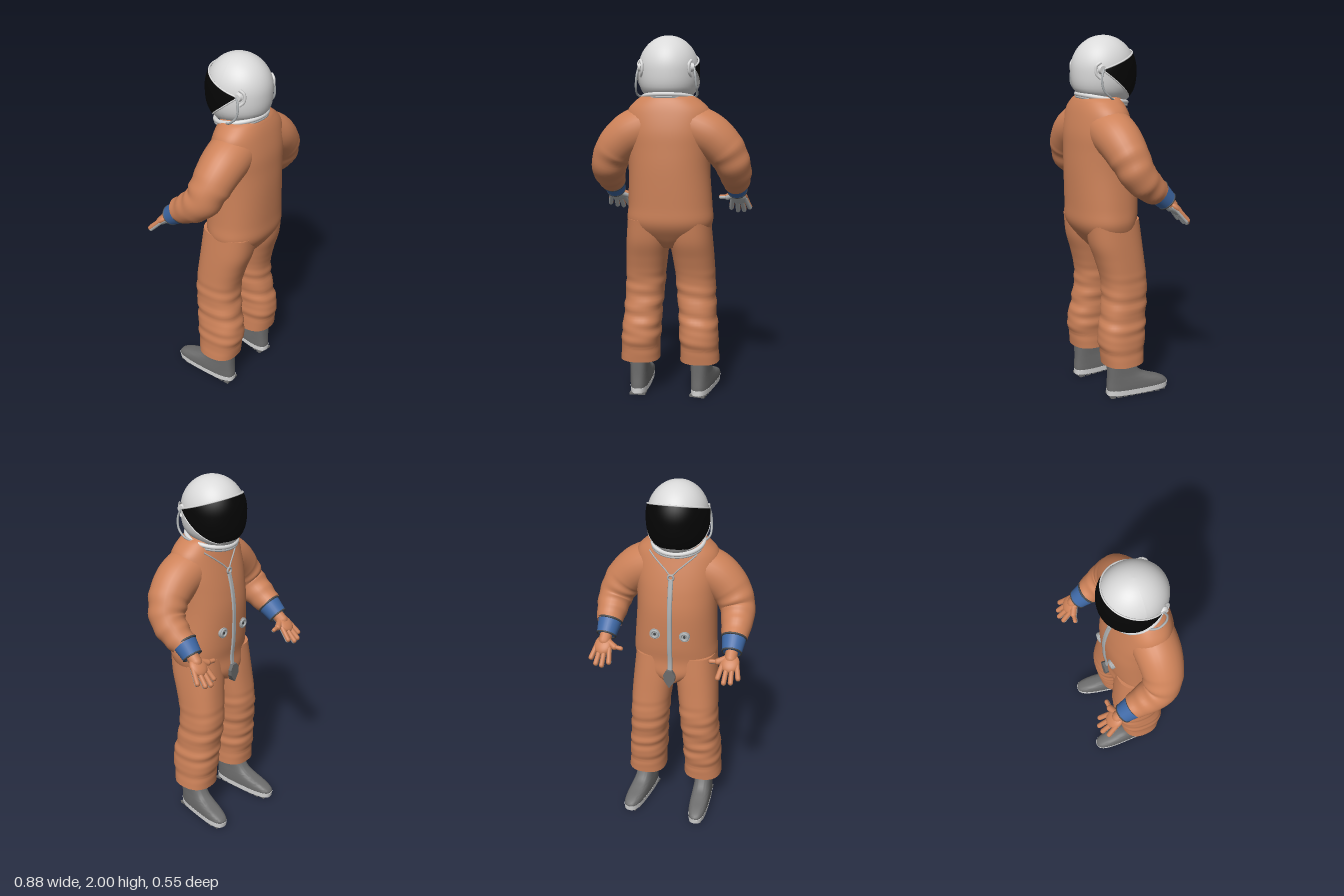
import * as THREE from 'three';
import { mergeVertices, toCreasedNormals } from 'three/addons/utils/BufferGeometryUtils.js';

const V = (x, y, z) => new THREE.Vector3(x, y, z);
const TAU = Math.PI * 2;

export function createModel() {
  const root = new THREE.Group();
  root.name = 'suitedFigure';
  const mat = (name, color, side = THREE.FrontSide) => {
    const m = new THREE.MeshStandardMaterial({ color, side });
    m.name = name;
    return m;
  };
  const orange = mat('orange fabric', 0xcd8259, THREE.DoubleSide);
  const white = mat('helmet white', 0xdadada);
  const black = mat('visor black', 0x050505, THREE.DoubleSide);
  const grey = mat('boot grey', 0x6c6c6c);
  const silver = mat('metal grey', 0xadb1b3);
  const blue = mat('cuff blue', 0x3f69a6);
  const dark = mat('dark trim', 0x46484a);

  const add = (parent, name, geo, material, pos) => {
    const m = new THREE.Mesh(geo, material);
    m.name = name;
    if (pos) m.position.set(...pos);
    parent.add(m);
    return m;
  };
  const tube = (pts, r, n = 32) => new THREE.TubeGeometry(new THREE.CatmullRomCurve3(pts), n, r, 8);

  // Closed skin over horizontal rings, bottom to top: [y, cx, cz, rx, rz]
  function loft(rows, { steps = 6, n = 40, e = 2.4, ripple = () => 0 } = {}) {
    const mid = new THREE.CatmullRomCurve3(rows.map(r => V(r[1], r[0], r[2])), false, 'catmullrom');
    const rad = new THREE.CatmullRomCurve3(rows.map(r => V(r[3], 0, r[4])), false, 'catmullrom');
    const count = (rows.length - 1) * steps, pos = [], idx = [];
    const pw = c => Math.sign(c) * Math.abs(c) ** (2 / e);
    for (let j = 0; j <= count; j++) {
      const c = mid.getPoint(j / count), r = rad.getPoint(j / count);
      for (let i = 0; i < n; i++) {
        const a = i / n * TAU, k = 1 + ripple(c.y, a);
        pos.push(c.x + r.x * k * pw(Math.cos(a)), c.y, c.z + r.z * k * pw(Math.sin(a)));
      }
    }
    for (let j = 0; j < count; j++) for (let i = 0; i < n; i++) {
      const a = j * n + i, b = j * n + (i + 1) % n;
      idx.push(a, a + n, b, b, a + n, b + n);
    }
    const base = pos.length / 3, top = count * n, first = rows[0], last = rows[rows.length - 1];
    pos.push(first[1], first[0], first[2], last[1], last[0], last[2]);
    for (let i = 0; i < n; i++) {
      const k = (i + 1) % n;
      idx.push(base, i, k, base + 1, top + k, top + i);
    }
    const g = new THREE.BufferGeometry();
    g.setAttribute('position', new THREE.Float32BufferAttribute(pos, 3));
    g.setIndex(idx);
    return toCreasedNormals(g, 0.9);
  }

  // Tube whose radius follows a list of values along its length
  function sleeve(pts, radii, steps = 48, sides = 28) {
    const curve = new THREE.CatmullRomCurve3(pts);
    const g = new THREE.TubeGeometry(curve, steps, 1, sides);
    const rc = new THREE.CatmullRomCurve3(radii.map((r, i) => V(i, r, 0)), false, 'catmullrom');
    const p = g.attributes.position, v = V(0, 0, 0);
    for (let j = 0; j <= steps; j++) {
      const t = j / steps, c = curve.getPointAt(t);
      const fold = t > 0.45 ? 0.035 * Math.sin(t * 42) : 0;
      for (let i = 0; i <= sides; i++) {
        const k = j * (sides + 1) + i, a = i / sides * TAU;
        v.fromBufferAttribute(p, k).sub(c).multiplyScalar(rc.getPoint(t).y * (1 + fold * Math.sin(a + 1))).add(c);
        p.setXYZ(k, v.x, v.y, v.z);
      }
    }
    g.deleteAttribute('uv');
    g.deleteAttribute('normal');
    const w = mergeVertices(g, 1e-5);
    w.computeVertexNormals();
    return w;
  }

  // Torso and seat
  const torso = [
    [0.86, 0, 0.05, 0.06, 0.12], [0.92, 0, 0.068, 0.19, 0.15], [1.0, 0, 0.094, 0.234, 0.17],
    [1.1, 0, 0.092, 0.23, 0.178], [1.28, -0.005, 0.092, 0.222, 0.182], [1.4, -0.005, 0.098, 0.225, 0.173],
    [1.5, -0.005, 0.107, 0.234, 0.158], [1.6, -0.005, 0.112, 0.224, 0.132],
    [1.66, -0.008, 0.11, 0.172, 0.112], [1.69, -0.01, 0.1, 0.12, 0.1]];
  add(root, 'torso', loft(torso, { e: 2.25, n: 56 }), orange);
  const frontZ = (x, y) => {
    const i = Math.max(1, torso.findIndex(r => r[0] >= y)), a = torso[i - 1], b = torso[i];
    const t = (y - a[0]) / (b[0] - a[0]), m = k => a[k] + (b[k] - a[k]) * t;
    return m(2) - m(4) * Math.max(0, 1 - Math.abs((x - m(1)) / m(3)) ** 2.25) ** (1 / 2.25);
  };

  // Front zip, pull ring, flap, neck cord and hose ports
  const zipYs = [0.91, 1.0, 1.1, 1.2, 1.3, 1.4, 1.49];
  add(root, 'zip', loft(zipYs.map(y => [y, 0, frontZ(0, y) - 0.001, 0.014, 0.009]), { n: 12 }), silver);
  add(root, 'zipPull', new THREE.TorusGeometry(0.015, 0.006, 8, 20), silver, [0, 1.505, frontZ(0, 1.505) - 0.007]);
  const flap = new THREE.Shape([[-0.016, 0.955], [-0.034, 0.925], [-0.03, 0.89], [0, 0.845], [0.03, 0.89], [0.034, 0.925], [0.016, 0.955]]
    .map(p => new THREE.Vector2(...p)));
  add(root, 'zipFlap', new THREE.ExtrudeGeometry(flap, { depth: 0.04, bevelEnabled: false }), grey, [0, 0, -0.1]);
  const cord = [-0.13, -0.1, -0.07, -0.035, 0, 0.035, 0.07, 0.1, 0.13].map(x => {
    const y = 1.515 + Math.abs(x) * 0.85;
    return V(x, y, frontZ(x, y) - 0.004);
  });
  add(root, 'neckCord', tube(cord, 0.004, 48), silver);
  for (const s of [-1, 1]) {
    const x = s * 0.083, y = 1.175, z = frontZ(x, y);
    add(root, 'hosePort', new THREE.CylinderGeometry(0.028, 0.03, 0.018, 24).rotateX(Math.PI / 2), silver, [x, y, z]);
    add(root, 'hosePortRing', new THREE.TorusGeometry(0.02, 0.006, 8, 24), silver, [x, y, z - 0.01]);
    add(root, 'hosePortCentre', new THREE.CylinderGeometry(0.008, 0.008, 0.022, 16).rotateX(Math.PI / 2), dark, [x, y, z]);
  }

  // Trouser legs with folds around the knees
  for (const s of [-1, 1]) {
    const rows = [
      [0.2, 0.17, 0.058, 0.111, 0.117], [0.28, 0.167, 0.06, 0.107, 0.125], [0.36, 0.163, 0.06, 0.11, 0.137],
      [0.46, 0.156, 0.047, 0.106, 0.13], [0.6, 0.145, 0.03, 0.109, 0.127], [0.7, 0.139, 0.034, 0.111, 0.129],
      [0.8, 0.13, 0.052, 0.115, 0.138], [0.9, 0.12, 0.073, 0.118, 0.15], [1.02, 0.113, 0.088, 0.114, 0.152]]
      .map(r => [r[0], s * r[1] - 0.006, ...r.slice(2)]);
    const ripple = (y, a) => {
      const w = Math.max(0, 1 - ((y - 0.48) / 0.26) ** 2);
      return w * (0.028 * Math.sin(y * 62 + 1.1 * Math.sin(a + s)) + 0.014 * Math.sin(y * 105 + 2 * Math.cos(a)));
    };
    add(root, s < 0 ? 'rightTrouserLeg' : 'leftTrouserLeg', loft(rows, { steps: 9, ripple }), orange);
  }

  // Boots: z given as heel and toe
  const bootRow = (y, heel, toe, rx) => [y, 0, (heel + toe) / 2, rx, (heel - toe) / 2];
  for (const s of [-1, 1]) {
    const boot = new THREE.Group();
    boot.name = s < 0 ? 'rightBoot' : 'leftBoot';
    boot.position.set(s < 0 ? -0.182 : 0.165, 0, 0.1);
    if (s > 0) {
      boot.rotation.y = -0.2;
      boot.scale.z = 0.92;
    }
    const upper = [bootRow(0.03, 0.06, -0.34, 0.054), bootRow(0.055, 0.06, -0.335, 0.055), bootRow(0.08, 0.058, -0.29, 0.054),
      bootRow(0.105, 0.056, -0.215, 0.052), bootRow(0.14, 0.055, -0.15, 0.05), bootRow(0.23, 0.055, -0.09, 0.05)];
    add(boot, 'upper', loft(upper, { e: 2.9 }), grey);
    add(boot, 'sole', loft([bootRow(0.01, 0.06, -0.338, 0.053), bootRow(0.04, 0.062, -0.343, 0.0555)], { steps: 1, e: 2.9 }), white);
    for (let i = 0; i < 9; i++) {
      add(boot, 'tread', new THREE.BoxGeometry(i > 7 ? 0.07 : 0.09, 0.012, 0.03), grey, [0, 0.006, 0.035 - i * 0.042]);
    }
    root.add(boot);
  }

  // Arms, cuffs and gloves
  const capsule = (parent, name, a, b, r, material) => {
    const d = b.clone().sub(a);
    const m = add(parent, name, new THREE.CapsuleGeometry(r, d.length(), 6, 12), material);
    m.position.copy(a).add(b).multiplyScalar(0.5);
    m.quaternion.setFromUnitVectors(V(0, 1, 0), d.normalize());
  };
  for (const s of [-1, 1]) {
    const dz = s < 0 ? -0.03 : 0, side = s < 0 ? 'right' : 'left';
    const path = [V(s * 0.1, 1.525, 0.115), V(s * 0.222, 1.47, 0.118), V(s * 0.303, 1.39, 0.108),
      V(s * 0.343, 1.305, 0.08), V(s * 0.352, 1.245, 0.025 + dz * 0.5), V(s * 0.352, 1.195, -0.04 + dz)];
    add(root, side + 'Sleeve', sleeve(path, [0.126, 0.123, 0.113, 0.1, 0.088, 0.07]), orange);
    const hand = new THREE.Group();
    hand.name = side + 'Hand';
    hand.position.set(s * 0.351, s < 0 ? 1.166 : 1.176, -0.068 + dz);
    hand.rotation.set(s < 0 ? -0.66 : -0.76, s > 0 ? -0.12 : 0, 0, 'YXZ');
    add(hand, 'cuff', new THREE.CylinderGeometry(0.066, 0.054, 0.085, 28).rotateX(-Math.PI / 2).rotateY(Math.PI), blue);
    add(hand, 'cuffRearRing', new THREE.TorusGeometry(0.065, 0.006, 8, 28), dark, [0, 0, 0.042]);
    add(hand, 'cuffFrontRing', new THREE.TorusGeometry(0.052, 0.005, 8, 28), dark, [0, 0, -0.042]);
    // Orange back of the glove over a grey palm
    for (const [name, y, k, m] of [['glove', 0, 1, orange], ['palm', -0.006, 0.92, silver]]) {
      capsule(hand, name + 'Wrist', V(0, y, -0.02), V(0, y, -0.08), 0.034 * k, m);
      add(hand, name, new THREE.SphereGeometry(1, 24, 16).scale(0.051 * k, 0.024 * k, 0.056 * k), m, [0, y, -0.105]);
      [0.185, 0.213, 0.218, 0.195].forEach((len, i) => {
        const x = s * (0.036 - i * 0.024);
        capsule(hand, name + 'Finger', V(x, y, -0.105), V(x * 1.5, y - 0.01, -len), 0.014 * k, m);
      });
      capsule(hand, name + 'Thumb', V(-s * 0.02, y, -0.08), V(-s * 0.065, y, -0.105), 0.018 * k, m);
      capsule(hand, name + 'ThumbTip', V(-s * 0.065, y, -0.105), V(-s * 0.105, y, -0.108), 0.012 * k, m);
    }
    root.add(hand);
  }

  // Helmet surface: round above, fuller below; found along a ray from inside
  const helmet = new THREE.Group();
  helmet.name = 'helmet';
  helmet.position.set(-0.013, 1.82, 0.065);
  root.add(helmet);
  const onShell = (o, d, k = 1) => {
    let lo = 0, hi = 0.6;
    for (let i = 0; i < 30; i++) {
      const t = (lo + hi) / 2, p = d.clone().multiplyScalar(t).add(o), q = p.y < 0 ? 2.8 : 2;
      const f = Math.hypot(p.x / 0.163, p.z / 0.178) ** q + Math.abs(p.y / 0.18) ** q;
      if (f < k ** q) lo = t; else hi = t;
    }
    return d.clone().multiplyScalar(lo).add(o);
  };
  const shell = new THREE.SphereGeometry(1, 48, 32);
  const sp = shell.attributes.position;
  for (let i = 0; i < sp.count; i++) {
    const p = onShell(V(0, 0, 0), V(0, 0, 0).fromBufferAttribute(sp, i).normalize());
    sp.setXYZ(i, p.x, p.y < -0.1 ? p.y + 0.2 * p.z * (-p.y - 0.1) / 0.08 : p.y, p.z);
  }
  shell.computeVertexNormals();
  add(helmet, 'shell', shell, white);

  // Visor: a wedge of the shell swung about the side hinges
  const hinge = V(0, 0.012, 0.098), upperEdge = 0.33, lowerEdge = -0.68;
  const visorPoint = (a, b, k) => onShell(hinge,
    V(Math.cos(b), Math.sin(b) * Math.sin(a), -Math.sin(b) * Math.cos(a)), k);
  const visor = new THREE.PlaneGeometry(1, 1, 40, 20), vp = visor.attributes.position;
  for (let i = 0; i < vp.count; i++) {
    const p = visorPoint(lowerEdge + (vp.getY(i) + 0.5) * (upperEdge - lowerEdge), 0.1 + (vp.getX(i) + 0.5) * (Math.PI - 0.2), 1.035);
    vp.setXYZ(i, p.x, p.y, p.z);
  }
  visor.computeVertexNormals();
  add(helmet, 'visor', visor, black);
  for (const a of [upperEdge, lowerEdge]) {
    const pts = Array.from({ length: 25 }, (_, i) => visorPoint(a, 0.1 + i / 24 * (Math.PI - 0.2), 1.03));
    add(helmet, 'visorTrim', tube(pts, 0.0045, 64), white);
  }

  // Side hinges, hoses and neck ring
  for (const s of [-1, 1]) {
    add(helmet, 'hingeDisc', new THREE.CylinderGeometry(0.02, 0.024, 0.016, 20).rotateZ(-s * Math.PI / 2), white, [s * 0.142, 0.012, 0.095]);
    add(helmet, 'hingeArm', tube([V(s * 0.135, 0.05, 0.1), V(s * 0.125, 0.03, 0.122), V(s * 0.125, -0.01, 0.122), V(s * 0.135, -0.035, 0.1)], 0.008), white);
    add(helmet, 'sideHose', tube([V(s * 0.148, 0.015, 0.09), V(s * 0.156, -0.03, 0.108), V(s * 0.162, -0.09, 0.1),
      V(s * 0.162, -0.13, 0.06), V(s * 0.14, -0.15, 0.02)], 0.006), silver);
  }
  const ring = (r, t) => new THREE.TorusGeometry(r, t, 10, 48).rotateX(Math.PI / 2).rotateX(-0.2);
  add(helmet, 'neckRing', ring(0.137, 0.012), white, [0, -0.152, 0.012]);
  add(helmet, 'neckSeal', ring(0.139, 0.006), silver, [0, -0.168, 0.012]);
  return root;
}
